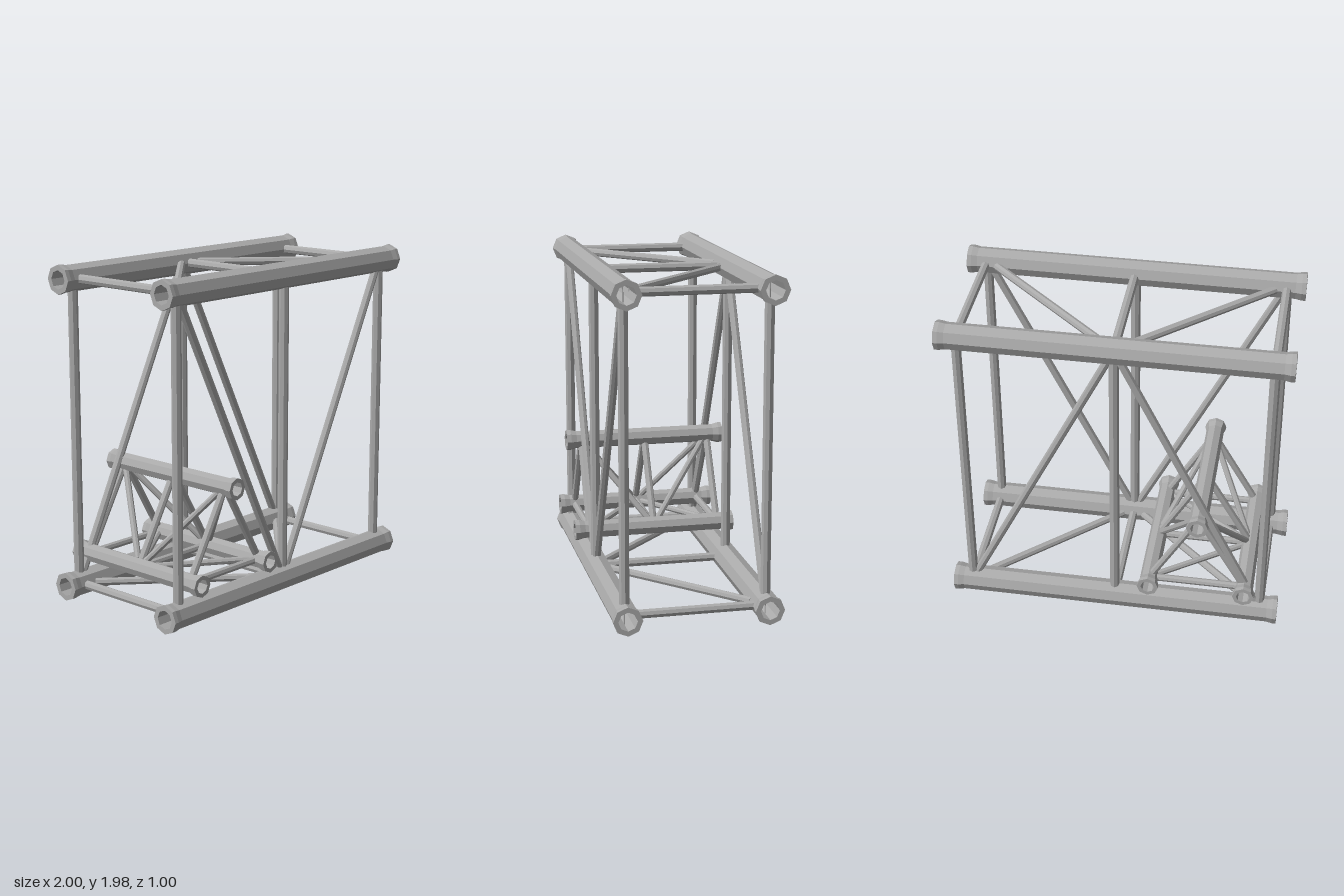
import * as THREE from 'three';

const SIDES = 8;
const V = (x, y, z) => new THREE.Vector3(x, y, z);
const UP = V(0, 1, 0);

export function createModel() {
  const root = new THREE.Group();
  root.name = 'trussFrame';
  const metal = new THREE.MeshStandardMaterial({ color: 0xaaaaaa, flatShading: true });
  metal.name = 'aluminium grey';

  // Hollow octagonal tube with flared ends
  function chord(group, name, centre, axis, half, r, endR, holeR) {
    const profile = [
      [holeR, -half], [endR, -half], [endR, -half + 0.025], [r, -half + 0.06],
      [r, half - 0.06], [endR, half - 0.025], [endR, half], [holeR, half], [holeR, -half],
    ].map(([x, y]) => new THREE.Vector2(x, y));
    const mesh = new THREE.Mesh(new THREE.LatheGeometry(profile, SIDES), metal);
    if (axis === 'x') mesh.rotation.z = -Math.PI / 2;
    else mesh.rotation.x = Math.PI / 2;
    mesh.position.copy(centre);
    mesh.name = name;
    group.add(mesh);

    // Thin upright locking pin just inside each open end
    for (const s of [-1, 1]) {
      const pin = new THREE.Mesh(new THREE.CylinderGeometry(0.004, 0.004, holeR * 2, 6), metal);
      pin.position.copy(centre);
      pin.position[axis] += s * (half - 0.11);
      pin.name = name + 'Pin';
      group.add(pin);
    }
  }

  // Bar between two chord axes, trimmed so that it ends inside the tube walls
  function bar(group, name, a, b, axis, radius, wall) {
    const d = b.clone().sub(a);
    const across = d.clone();
    across[axis] = 0;
    const t = wall / across.length();
    const p = a.clone().lerp(b, t), q = a.clone().lerp(b, 1 - t);
    const mesh = new THREE.Mesh(
      new THREE.CylinderGeometry(radius, radius, p.distanceTo(q), SIDES), metal);
    mesh.position.copy(p).add(q).multiplyScalar(0.5);
    mesh.quaternion.setFromUnitVectors(UP, d.normalize());
    mesh.name = name;
    group.add(mesh);
  }

  // Large box truss, running along x
  const large = new THREE.Group();
  large.name = 'largeTruss';
  root.add(large);
  const low = 0.086, high = 1.9, depth = 0.407, endX = 0.89;
  for (const y of [low, high])
    for (const z of [-depth, depth])
      chord(large, 'largeChord', V(0, y, z), 'x', 1, 0.078, 0.085, 0.055);

  const largeBar = (name, a, b, r) => bar(large, name, a, b, 'x', r, 0.063);
  for (const x of [-endX, 0, endX]) {
    for (const z of [-depth, depth]) largeBar('upright', V(x, low, z), V(x, high, z), 0.029);
    for (const y of [low, high]) largeBar('crossBar', V(x, y, -depth), V(x, y, depth), 0.027);
  }
  for (const x of [-endX, endX]) {
    largeBar('frontDiagonal', V(0, low, depth), V(x, high, depth), 0.024);
    largeBar('backDiagonal', V(0, high, -depth), V(x, low, -depth), 0.024);
    largeBar('topDiagonal', V(0, high, -depth), V(x, high, depth), 0.024);
    largeBar('bottomDiagonal', V(0, low, depth), V(x, low, -depth), 0.024);
  }

  // Small triangular truss, running along z through the large one
  const small = new THREE.Group();
  small.name = 'smallTruss';
  root.add(small);
  const endZ = 0.405;
  const apex = [-0.503, 0.75], right = [-0.793, 0.248], left = [-0.213, 0.248];
  for (const [x, y] of [apex, right, left])
    chord(small, 'smallChord', V(x, y, 0), 'z', 0.5, 0.055, 0.065, 0.041);

  const smallBar = (name, a, za, b, zb, r) =>
    bar(small, name, V(...a, za), V(...b, zb), 'z', r, 0.046);
  for (const [a, b] of [[right, apex], [left, apex], [right, left]]) {
    for (const z of [-endZ, 0, endZ]) smallBar('triangleBar', a, z, b, z, 0.022);
    for (const z of [-endZ, endZ]) smallBar('smallDiagonal', a, 0, b, z, 0.019);
  }

  return root;
}
